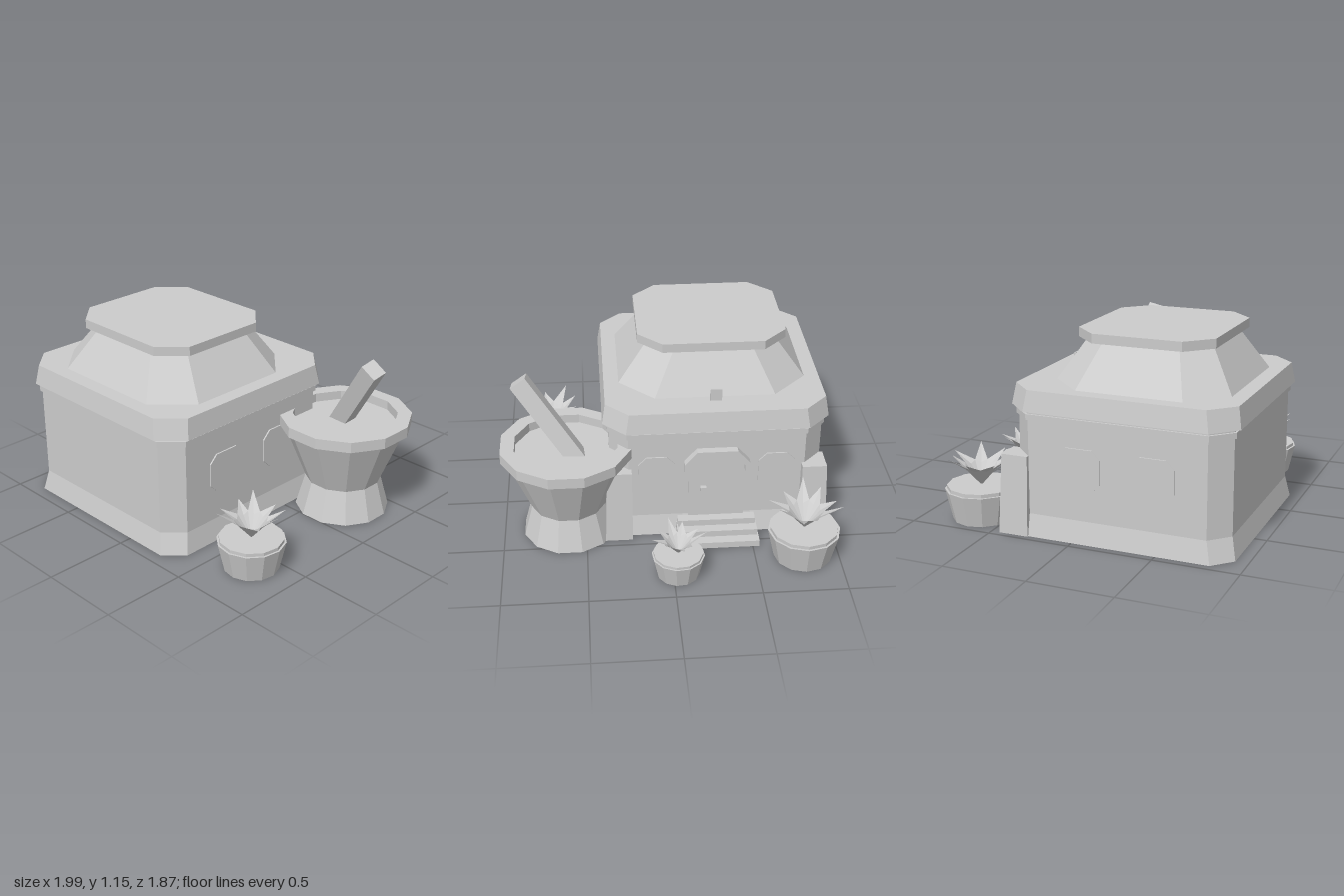
import * as THREE from 'three';

const stone = new THREE.MeshStandardMaterial({ color: 0xcccccc, side: THREE.DoubleSide });
stone.name = 'stone';

function add(parent, name, geometry, x = 0, y = 0, z = 0) {
  const g = geometry.index ? geometry.toNonIndexed() : geometry;
  g.computeVertexNormals(); // unshared corners give flat faces
  const m = new THREE.Mesh(g, stone);
  m.name = name;
  m.position.set(x, y, z);
  parent.add(m);
  return m;
}

function fromPoints(points) {
  const g = new THREE.BufferGeometry();
  g.setAttribute('position', new THREE.Float32BufferAttribute(points.flat(), 3));
  return g;
}

// Loft through chamfered rectangles [halfX, halfZ, chamfer, y]
function octLoft(sections, capped = true) {
  const rings = sections.map(([x, z, c, y]) => [
    [x, y, -z + c], [x, y, z - c], [x - c, y, z], [-x + c, y, z],
    [-x, y, z - c], [-x, y, -z + c], [-x + c, y, -z], [x - c, y, -z],
  ]);
  const p = [];
  const last = rings[rings.length - 1];
  for (let r = 0; r < rings.length - 1; r++) {
    for (let i = 0; i < 8; i++) {
      const j = (i + 1) % 8, lo = rings[r], hi = rings[r + 1];
      p.push(lo[i], hi[i], hi[j], lo[i], hi[j], lo[j]);
    }
  }
  for (let i = 1; capped && i < 7; i++) {
    p.push(rings[0][0], rings[0][i], rings[0][i + 1], last[0], last[i + 1], last[i]);
  }
  return fromPoints(p);
}

function lathe(profile, sides) {
  return new THREE.LatheGeometry(profile.map(([r, y]) => new THREE.Vector2(r, y)), sides);
}

function extrude(points, depth) {
  const shape = new THREE.Shape(points.map(([x, y]) => new THREE.Vector2(x, y)));
  return new THREE.ExtrudeGeometry(shape, { depth, bevelEnabled: false });
}

// Thin window plate with cut corners, facing +z
function windowPlate(w, h) {
  const c = 0.05;
  return extrude([
    [w - c, -h], [w, -h + c], [w, h - c], [w - c, h],
    [-w + c, h], [-w, h - c], [-w, -h + c], [-w + c, -h],
  ], 0.009);
}

function createBuilding() {
  const b = new THREE.Group();
  b.name = 'building';
  b.position.set(-0.29, 0, 0.259);

  // Open flared skirt below a closed wall block
  add(b, 'baseSkirt', octLoft([[0.665, 0.665, 0.11, 0], [0.638, 0.638, 0.11, 0.13]], false));
  add(b, 'walls', octLoft([[0.638, 0.638, 0.11, 0.13], [0.638, 0.638, 0.11, 0.735]]));
  add(b, 'trimBand', octLoft([[0.65, 0.65, 0.115, 0.683], [0.65, 0.65, 0.115, 0.717]]));
  add(b, 'eaves', octLoft([[0.675, 0.675, 0.135, 0.735], [0.655, 0.655, 0.135, 0.857]]));
  add(b, 'roof', octLoft([[0.565, 0.52, 0.207, 0.857], [0.38, 0.37, 0.145, 1.1]]), 0, 0, 0.043);
  add(b, 'roofCap', octLoft([[0.446, 0.407, 0.143, 1.1], [0.446, 0.407, 0.143, 1.155]]), 0, 0, 0.043);
  add(b, 'roofPlaque', new THREE.BoxGeometry(0.07, 0.075, 0.012), 0, 0.895, -0.52);

  // Side and back windows
  for (const s of [-1, 1]) {
    for (const z of [-0.218, 0.218]) {
      add(b, 'sideWindow', windowPlate(0.128, 0.12), s * 0.638, 0.43, z).rotation.y = s * Math.PI / 2;
    }
    add(b, 'backWindow', windowPlate(0.11, 0.12), s * 0.36, 0.43, -0.638).rotation.y = Math.PI;

    // Tapered corner buttresses
    const buttress = new THREE.BoxGeometry(0.165, 0.47, 0.18);
    const p = buttress.attributes.position;
    for (let i = 0; i < p.count; i++) {
      if (p.getY(i) > 0) {
        p.setX(i, p.getX(i) - (p.getX(i) * s > 0 ? s * 0.018 : 0));
        if (p.getZ(i) < 0) p.setZ(i, p.getZ(i) + 0.02);
      }
    }
    add(b, 'buttress', buttress, s * 0.5925, 0.235, -0.619);
  }

  // Back entrance
  const door = [[-0.17, 0.12], [0.17, 0.12], [0.17, 0.5], [0.11, 0.575], [-0.11, 0.575], [-0.17, 0.5]];
  add(b, 'door', extrude(door, 0.009), 0, 0, -0.638).rotation.y = Math.PI;
  const hood = [
    [0.165, 0.46], [0.195, 0.46], [0.195, 0.515], [0.12, 0.6], [-0.12, 0.6], [-0.195, 0.515],
    [-0.195, 0.46], [-0.165, 0.46], [-0.165, 0.5], [-0.108, 0.568], [0.108, 0.568], [0.165, 0.5],
  ];
  add(b, 'doorHood', extrude(hood, 0.05), 0, 0, -0.636).rotation.y = Math.PI;
  add(b, 'doorKnob', new THREE.BoxGeometry(0.035, 0.035, 0.03), 0.08, 0.32, -0.66);
  [[0.5, 0.04, 0.827], [0.485, 0.08, 0.765], [0.47, 0.12, 0.703]].forEach(([w, h, reach]) => {
    add(b, 'step', new THREE.BoxGeometry(w, h, reach - 0.64), 0, h / 2, -(reach + 0.64) / 2);
  });
  return b;
}

function createMortar() {
  const g = new THREE.Group();
  g.name = 'mortar';
  g.position.set(0.603, 0, -0.275);
  const turned = (profile) => lathe(profile, 12).rotateY(Math.PI / 12); // flats face the axes
  add(g, 'mortarFoot', turned([[0.285, 0], [0.229, 0.2]]));
  add(g, 'mortarBowl', turned([
    [0, 0.2], [0.229, 0.2], [0.37, 0.55], [0.4, 0.55], [0.4, 0.615], [0.315, 0.615], [0.315, 0.56], [0, 0.56],
  ]));

  // Leaning pestle
  const low = new THREE.Vector3(-0.071, 0.52, -0.035), high = new THREE.Vector3(0.259, 0.998, 0.08);
  const dir = high.clone().sub(low);
  const mid = low.clone().add(high).multiplyScalar(0.5);
  const pestle = add(g, 'pestle', new THREE.BoxGeometry(0.107, dir.length(), 0.1), mid.x, mid.y, mid.z);
  pestle.quaternion.setFromUnitVectors(new THREE.Vector3(0, 1, 0), dir.normalize());
  return g;
}

// Spiky crown of pointed leaves rising from one point
function spikes() {
  const p = [];
  const at = (a, r, y) => [Math.cos(a) * r, y, Math.sin(a) * r];
  const count = 9, step = Math.PI * 2 / count;
  for (let i = 0; i < count; i++) {
    const a = i * step;
    const tip = at(a + 0.15 * Math.sin(i * 3), 0.185 + 0.025 * Math.sin(i * 2.4), 0.17 + 0.02 * Math.cos(i * 2.1));
    const left = at(a - step / 2, 0.1, 0.115), right = at(a + step / 2, 0.1, 0.115);
    const keel = at(a, 0.085, 0.1);
    p.push([0, 0, 0], left, keel, left, tip, keel, [0, 0, 0], keel, right, keel, tip, right);
  }
  return fromPoints(p);
}

function createPot(x, z, s, turn) {
  const g = new THREE.Group();
  g.name = 'pottedPlant';
  g.position.set(x, 0, z);
  g.rotation.y = turn;
  g.scale.setScalar(s);
  add(g, 'pot', lathe([[0.16, 0], [0.199, 0.173], [0.187, 0.173], [0.187, 0.193], [0, 0.193]], 12));
  add(g, 'leaves', spikes(), 0, 0.185, 0);
  return g;
}

export function createModel() {
  const model = new THREE.Group();
  model.name = 'apothecary';
  model.add(createBuilding(), createMortar());
  model.add(createPot(0.705, 0.63, 1, 0.1));
  model.add(createPot(-0.785, -0.66, 1.08, 0.5));
  model.add(createPot(-0.028, -0.78, 0.78, 0.9));
  return model;
}
